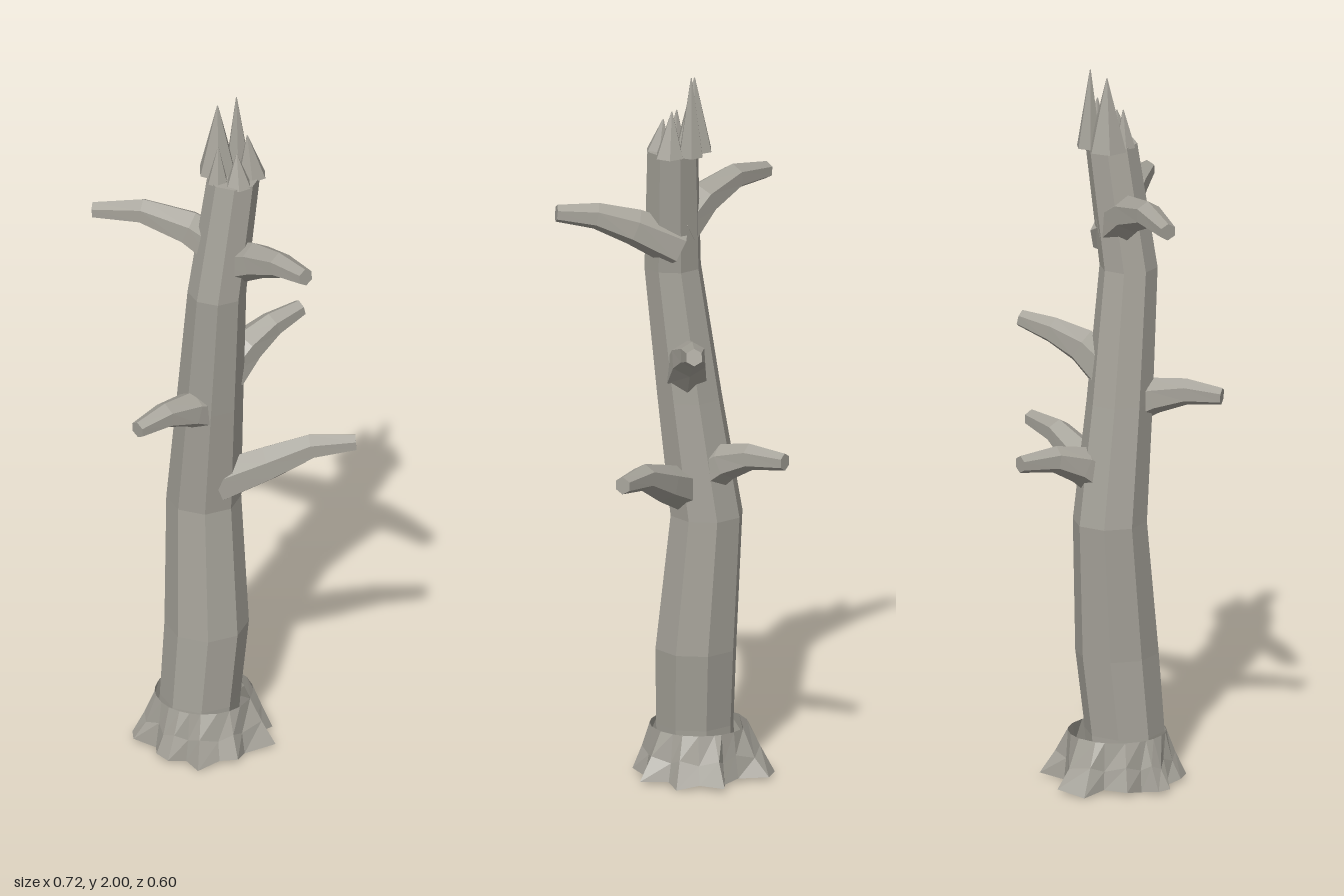
import * as THREE from 'three';

const bark = new THREE.MeshStandardMaterial({ color: 0xa5a299, flatShading: true, side: THREE.DoubleSide });
bark.name = 'weathered grey bark';
const V = (x, y, z) => new THREE.Vector3(x, y, z);

// Skin a series of rings (counter-clockwise about the direction of travel)
function loft(rings, capStart, capEnd) {
  const pos = [];
  const tri = (...pts) => pts.forEach((p) => pos.push(p.x, p.y, p.z));
  const n = rings[0].length;
  const centre = (ring) => ring.reduce((s, p) => s.add(p), V(0, 0, 0)).divideScalar(n);
  const first = rings[0], last = rings[rings.length - 1];
  for (let j = 0; j < n; j++) {
    const k = (j + 1) % n;
    for (let i = 0; i < rings.length - 1; i++) {
      const a = rings[i], b = rings[i + 1];
      tri(a[j], a[k], b[k]);
      tri(a[j], b[k], b[j]);
    }
    if (capStart) tri(centre(first), first[k], first[j]);
    if (capEnd) tri(centre(last), last[j], last[k]);
  }
  const g = new THREE.BufferGeometry();
  g.setAttribute('position', new THREE.Float32BufferAttribute(pos, 3));
  g.computeVertexNormals();
  return g;
}

function ring(c, u, v, r, sides) {
  return Array.from({ length: sides }, (_, i) => {
    const a = (i / sides) * Math.PI * 2;
    return c.clone().addScaledVector(u, r * Math.cos(a)).addScaledVector(v, r * Math.sin(a));
  });
}

// Tapering branch: centre line points with one radius each, ridge on top
function branchGeometry(points, radii) {
  const rings = points.map((p, i) => {
    const t = points[Math.min(i + 1, points.length - 1)].clone().sub(points[Math.max(i - 1, 0)]).normalize();
    const u = V(0, 1, 0).addScaledVector(t, -t.y).normalize();
    return ring(p, u, t.clone().cross(u), radii[i], 6);
  });
  return loft(rings, true, true);
}

export function createModel() {
  const model = new THREE.Group();
  model.name = 'deadTree';
  const add = (name, geometry) => {
    const m = new THREE.Mesh(geometry, bark);
    m.name = name;
    model.add(m);
    return m;
  };

  // Crooked eight-sided trunk: x, y, z, radius
  const trunk = [
    [-0.075, 0.02, 0.01, 0.108], [-0.068, 0.14, 0.01, 0.11], [-0.05, 0.36, -0.003, 0.115],
    [-0.057, 0.74, -0.032, 0.102], [-0.042, 1.07, 0.012, 0.091],
    [-0.024, 1.44, 0.055, 0.08], [0.022, 1.785, 0.03, 0.072],
  ];
  add('trunk', loft(trunk.map(([x, y, z, r]) => ring(V(x, y, z), V(0, 0, 1), V(1, 0, 0), r, 8)), true, true));

  // Flared root collar with a ragged foot outline (x, z)
  const foot = [
    [-0.08, 0.19], [-0.02, 0.155], [0.03, 0.15], [0.05, 0.1], [0.135, 0.07], [0.1, 0],
    [0.13, -0.04], [0.09, -0.09], [0.085, -0.165], [0.02, -0.13], [-0.02, -0.15], [-0.07, -0.218],
    [-0.155, -0.19], [-0.15, -0.12], [-0.21, -0.085], [-0.2, -0.03], [-0.252, -0.01], [-0.25, 0.03],
    [-0.19, 0.06], [-0.19, 0.11], [-0.16, 0.15], [-0.11, 0.135],
  ];
  const low = foot.map(([x, z], i) => V(x, i % 3 ? 0.01 : 0, z));
  const top = foot.map(([x, z]) => {
    const d = V(x + 0.06, 0, z + 0.01).setLength(0.134);
    return V(d.x - 0.057, 0.14, d.z - 0.008);
  });
  const mid = low.map((p, i) => {
    const q = p.clone().lerp(top[i], 0.55);
    q.y = i % 2 ? 0.06 : 0.075;
    return q;
  });
  add('rootCollar', loft([low, mid, top], true, false));

  // Six broken branches spiralling up the trunk
  const branches = {
    lowerLeftBranch: [[-0.02, 0.81, 0.01], [0.12, 0.865, 0.007], [0.235, 0.913, 0.005], [0.356, 0.922, 0.004]],
    lowerBackBranch: [[-0.035, 0.85, -0.03], [-0.027, 0.905, -0.11], [-0.018, 0.932, -0.19], [-0.01, 0.935, -0.3]],
    middleRightBranch: [[-0.03, 1.045, 0.02], [-0.1, 1.085, 0.085], [-0.17, 1.102, 0.145], [-0.245, 1.095, 0.208]],
    middleBackBranch: [[0, 1.15, 0], [0.06, 1.21, -0.04], [0.13, 1.246, -0.09], [0.21, 1.268, -0.138]],
    upperFrontBranch: [[0.01, 1.51, 0.02], [0.085, 1.57, 0.115], [0.145, 1.605, 0.2], [0.21, 1.617, 0.288]],
    upperRightBranch: [[0, 1.55, 0.03], [-0.1, 1.615, 0.007], [-0.225, 1.65, -0.025], [-0.357, 1.638, -0.055]],
  };
  for (const [name, pts] of Object.entries(branches))
    add(name, branchGeometry(pts.map((p) => V(...p)), [0.062, 0.051, 0.037, 0.024]));

  // Splintered crown: base x, z, radius, then tip x, y, z
  const spikes = [
    [-0.02, -0.012, 0.055, -0.02, 1.985, -0.015], [0.036, -0.034, 0.036, 0.032, 2, -0.033],
    [0.073, 0.012, 0.041, 0.06, 1.905, 0.012], [-0.022, 0.045, 0.03, -0.02, 1.885, 0.04],
    [0.035, 0.066, 0.037, 0.03, 1.87, 0.055],
  ];
  spikes.forEach(([x, z, r, tx, ty, tz], i) => {
    const base = ring(V(x, 1.78, z), V(0, 0, 1), V(1, 0, 0), r, 6);
    const tip = ring(V(tx, ty, tz), V(0, 0, 1), V(1, 0, 0), 0.0015, 6);
    add('crownSplinter' + (i + 1), loft([base, tip], true, true));
  });

  return model;
}
